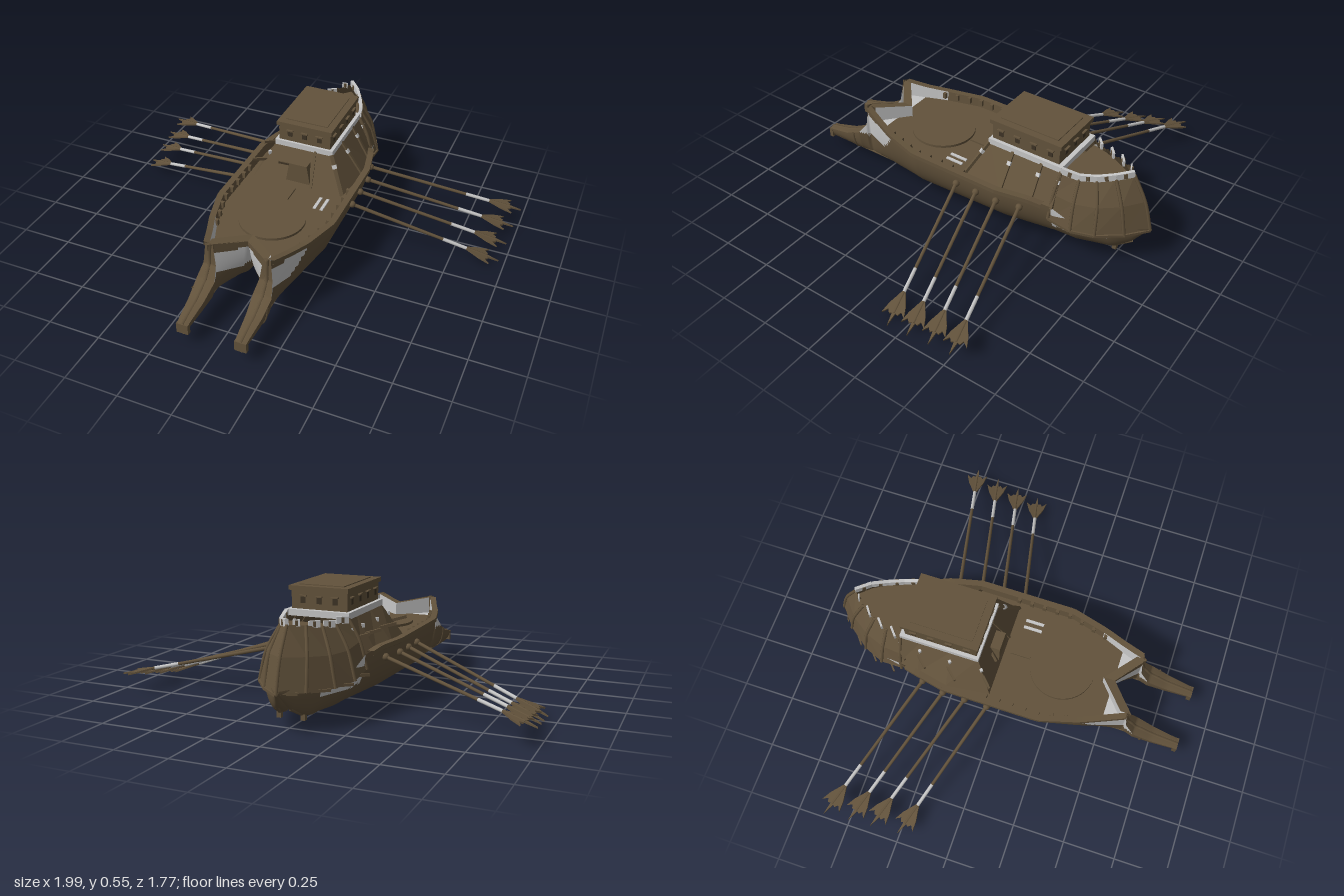
import * as THREE from 'three';

const brown = new THREE.MeshStandardMaterial({ color: 0x62523b, side: THREE.DoubleSide });
brown.name = 'weathered brown';
const pale = new THREE.MeshStandardMaterial({ color: 0xc6c6c6, side: THREE.DoubleSide });
pale.name = 'pale grey';
const dark = new THREE.MeshStandardMaterial({ color: 0x3c3224 });
dark.name = 'dark brown';

const V = (x, y, z) => new THREE.Vector3(x, y, z);

function add(parent, name, geo, mat, x = 0, y = 0, z = 0) {
  const m = new THREE.Mesh(geo, mat);
  m.name = name;
  m.position.set(x, y, z);
  parent.add(m);
  return m;
}

// surface through rows of points; pick(centre) is true where the face is pale
function surf(parent, name, rows, pick = () => false, smooth = false) {
  const n = rows[0].length, lists = [[], []];
  for (let i = 0; i < rows.length - 1; i++) for (let j = 0; j < n - 1; j++) {
    const a = i * n + j, b = a + 1, c = a + n, d = c + 1;
    const mid = rows[i][j].clone().add(rows[i + 1][j + 1]).multiplyScalar(0.5);
    lists[pick(mid) ? 1 : 0].push(a, b, c, b, d, c);
  }
  let g = new THREE.BufferGeometry().setFromPoints(rows.flat());
  g.setIndex([...lists[0], ...lists[1]]);
  if (!smooth) g = g.toNonIndexed();
  g.computeVertexNormals();
  g.addGroup(0, lists[0].length, 0);
  g.addGroup(lists[0].length, lists[1].length, 1);
  return add(parent, name, g, [brown, pale]);
}

// square bar between two points
function bar(parent, name, a, b, w, h, mat = brown) {
  const m = add(parent, name, new THREE.BoxGeometry(w, h, a.distanceTo(b)), mat);
  m.position.copy(a).lerp(b, 0.5);
  m.lookAt(b);
  return m;
}

const tube = (parent, name, pts, r, mat = brown) =>
  add(parent, name, new THREE.TubeGeometry(new THREE.CatmullRomCurve3(pts), 24, r, 6), mat);

// hull stations: z, outer rim x y, keel x y, inner edge x y
const stations = [
  [-0.88, 0.01, 0.195, 0.006, 0.182, 0, 0.19],
  [-0.82, 0.065, 0.2, 0.03, 0.11, 0, 0.17],
  [-0.75, 0.125, 0.21, 0.055, 0.066, 0, 0.17],
  [-0.6, 0.2, 0.22, 0.065, 0.062, 0, 0.17],
  [-0.5, 0.222, 0.28, 0.075, 0.062, 0, 0.17],
  [-0.4, 0.252, 0.305, 0.085, 0.062, 0, 0.17],
  [-0.25, 0.285, 0.31, 0.1, 0.062, 0, 0.17],
  [0.22, 0.285, 0.31, 0.13, 0.062, 0, 0.17],
  [0.4, 0.235, 0.315, 0.136, 0.062, 0, 0.17],
  [0.45, 0.215, 0.32, 0.137, 0.062, 0, 0.18],
  [0.5, 0.195, 0.325, 0.137, 0.062, 0.002, 0.325],
  [0.605, 0.155, 0.345, 0.137, 0.062, 0.12, 0.345],
  [0.615, 0.165, 0.24, 0.137, 0.062, 0.105, 0.24],
  [0.66, 0.18, 0.18, 0.137, 0.062, 0.092, 0.18],
  [0.75, 0.174, 0.138, 0.137, 0.062, 0.1, 0.138],
  [0.88, 0.163, 0.108, 0.137, 0.062, 0.111, 0.108],
];
function at(z) {
  let i = 0;
  while (i < stations.length - 2 && stations[i + 1][0] < z) i++;
  const a = stations[i], b = stations[i + 1], t = (z - a[0]) / (b[0] - a[0]);
  return a.map((v, k) => v + (b[k] - v) * t);
}
function range(a, b, n) {
  return Array.from({ length: n + 1 }, (_, i) => a + (b - a) * i / n);
}

function hullHalf(g) {
  const zs = [...range(-0.88, 0.4, 64), ...range(0.41, 0.6, 19), ...range(0.605, 0.66, 11), ...range(0.67, 0.88, 14)];
  const arc = range(0, Math.PI / 2, 18);
  const side = (ix) => zs.map(z => {
    const s = at(z);
    return arc.map(t => V(s[3] + (s[ix] - s[3]) * Math.cos(t), s[ix + 1] - (s[ix + 1] - s[4]) * Math.sin(t), z));
  });
  const bow = p => p.z > 0.4 + 0.9 * Math.max(0, 0.27 - p.y) && p.z < 0.66 && p.y > 0.18 && p.y < 0.295;
  surf(g, 'hullOuterSide', side(1), p => bow(p) || (p.z < -0.5 && p.z > -0.74 && p.y > 0.155), true);
  surf(g, 'hullInnerSide', side(5), bow, true);
  // ram top, stem rib, tip and hoop
  surf(g, 'ramTop', zs.filter(z => z >= 0.605).map(z => {
    const s = at(z);
    return [V(s[5], s[6], z), V(0.137, s[6] + 0.006, z), V(s[1], s[2], z)];
  }), undefined, true);
  tube(g, 'stemRib', [0.605, 0.615, 0.635, 0.66, 0.7, 0.75, 0.88].map(z => V(0.137, at(z)[2], z)), 0.01);
  add(g, 'ramTip', new THREE.BoxGeometry(0.056, 0.05, 0.02), brown, 0.137, 0.085, 0.873);
  const hoop = at(0.7);
  tube(g, 'ramHoop', arc.map(t => V(0.137 + (hoop[1] - 0.137) * Math.cos(t), hoop[2] - (hoop[2] - 0.062) * Math.sin(t), 0.7)), 0.006);
  tube(g, 'keel', range(-0.82, 0.88, 20).map(z => V(at(z)[3], at(z)[4], z)), 0.008);
  add(g, 'keelEnd', new THREE.BoxGeometry(0.02, 0.03, 0.02), brown, 0.055, 0.062, -0.75);
  // rim lip, bulwark and deck
  const rim = range(-0.46, 0.6, 40).map(z => [z, at(z)]);
  surf(g, 'rimLip', rim.map(([z, s]) => [V(s[1] - 0.004, s[2] - 0.028, z), V(s[1] + 0.01, s[2] - 0.02, z),
    V(s[1] + 0.01, s[2], z), V(s[1] - 0.02, s[2], z)]));
  surf(g, 'bulwark', rim.map(([z, s]) => [V(s[1] - 0.02, s[2], z), V(s[1] - 0.025, 0.262, z)]), p => p.z > 0.4);
  surf(g, 'deck', range(-0.5, 0.58, 54).map(z => [V(Math.max(0, (z - 0.45) * 0.95), 0.265, z), V(at(z)[1] - 0.015, 0.265, z)]),
    p => p.z > 0.5);
  surf(g, 'bowNotchRail', [
    [V(0, 0.295, 0.503), V(0, 0.325, 0.505), V(0, 0.325, 0.45), V(0, 0.262, 0.45)],
    [V(0.14, 0.31, 0.618), V(0.14, 0.345, 0.62), V(0.14, 0.345, 0.57), V(0.14, 0.262, 0.57)],
  ], p => p.y < 0.32 && p.z < 0.54);
  for (const z of range(-0.05, 0.4, 7))
    add(g, 'bulwarkCleat', new THREE.BoxGeometry(0.016, 0.03, 0.016), brown, at(z)[1] - 0.028, 0.295, z);
}

function houseHalf(g) {
  // sloping lower house
  const foot = [[-0.04, 0.23], [-0.25, 0.255], [-0.4, 0.235], [-0.5, 0.218]];
  const top = [-0.12, -0.25, -0.4, -0.5];
  surf(g, 'houseSide', foot.map(([z, x], i) => [V(x, 0.265, z), V(0.14, 0.43, top[i])]));
  surf(g, 'houseFront', [[V(0, 0.265, -0.04), V(0.23, 0.265, -0.04)], [V(0, 0.43, -0.12), V(0.14, 0.43, -0.12)]]);
  foot.forEach(([z, x], i) => {
    const a = V(x, 0.27, z), b = V(0.142, 0.43, top[i]);
    bar(g, 'houseRib', a, b, 0.014, 0.014);
    bar(g, 'ribBand', a.clone().lerp(b, 0.66), a.clone().lerp(b, 0.76), 0.018, 0.018, pale);
  });
  bar(g, 'frontRib', V(0.07, 0.27, -0.04), V(0.06, 0.43, -0.12), 0.012, 0.012);

  // pleated stern shroud
  const upper = [V(0.145, 0.43, -0.5), V(0.125, 0.415, -0.58), V(0.095, 0.42, -0.65), V(0.055, 0.435, -0.72), V(0, 0.445, -0.78)];
  const lower = [V(0.225, 0.215, -0.49), V(0.218, 0.19, -0.6), V(0.175, 0.18, -0.7), V(0.095, 0.18, -0.805), V(0, 0.18, -0.885)];
  const pleat = upper.map((u, i) => [u, u.clone().lerp(lower[i], 0.5).add(V(i < 4 ? 0.01 : 0, 0.012, i > 1 ? -0.012 : 0)), lower[i]]);
  surf(g, 'sternShroud', pleat);
  pleat.forEach(p => tube(g, 'shroudRib', p, 0.008));
  for (let i = 0; i < 4; i++) {
    bar(g, 'shroudHem', lower[i], lower[i + 1], 0.012, 0.012);
    const lift = V(0, 0.008, 0);
    const a = upper[i].clone().add(lift), b = upper[i + 1].clone().add(lift);
    bar(g, 'sternRail', a, b, 0.016, 0.03, pale);
    bar(g, 'railPost', a.clone().lerp(b, 0.4), a.clone().lerp(b, 0.6), 0.022, 0.024);
  }
  surf(g, 'aftDeck', upper.map(u => [V(0, 0.4, u.z), V(u.x, 0.4, u.z)]));
}

function cabin(g) {
  const zc = -0.305;
  add(g, 'cabinBand', new THREE.BoxGeometry(0.296, 0.028, 0.385), pale, 0, 0.438, -0.31);
  add(g, 'cabinWalls', new THREE.BoxGeometry(0.262, 0.1, 0.35), brown, 0, 0.49, zc);
  add(g, 'cabinRoof', new THREE.BoxGeometry(0.28, 0.02, 0.372), brown, 0, 0.543, zc);
  add(g, 'roofPanel', new THREE.BoxGeometry(0.21, 0.006, 0.3), brown, 0, 0.554, zc);
  for (const s of [-1, 1]) {
    for (const t of range(-0.13, 0.13, 3)) {
      add(g, 'sideWindow', new THREE.BoxGeometry(0.006, 0.028, 0.022), dark, s * 0.132, 0.492, zc + t);
      add(g, 'sideWindowHood', new THREE.BoxGeometry(0.016, 0.006, 0.034), brown, s * 0.134, 0.51, zc + t);
    }
    for (const t of range(-0.075, 0.075, 2)) {
      add(g, 'endWindow', new THREE.BoxGeometry(0.022, 0.028, 0.006), dark, t, 0.492, zc + s * 0.176);
      add(g, 'endWindowHood', new THREE.BoxGeometry(0.034, 0.006, 0.016), brown, t, 0.51, zc + s * 0.178);
    }
  }
  // entry porch
  const porch = new THREE.Shape([[-0.065, 0], [0.065, 0], [0.045, 0.115], [-0.045, 0.115]].map(p => new THREE.Vector2(...p)));
  add(g, 'entryPorch', new THREE.ExtrudeGeometry(porch, { depth: 0.05, bevelEnabled: false }), brown, 0, 0.265, -0.098);
}

// oar from the hull to its tip: shaft, pale grip and barbed blade
function oar(g, a, b) {
  const o = new THREE.Group(), len = a.distanceTo(b);
  o.name = 'oar';
  const y = b.clone().sub(a).normalize();
  const x = y.clone().cross(V(0, 1, 0)).normalize();
  o.quaternion.setFromRotationMatrix(new THREE.Matrix4().makeBasis(x, y, x.clone().cross(y)));
  o.position.copy(a);
  const shaft = len - 0.06;
  add(o, 'shaft', new THREE.CylinderGeometry(0.007, 0.009, shaft, 8), brown, 0, shaft / 2, 0);
  add(o, 'sleeve', new THREE.CylinderGeometry(0.0085, 0.0085, 0.12, 8), pale, 0, len - 0.225, 0);
  add(o, 'socket', new THREE.SphereGeometry(0.017, 10, 8), brown, 0, 0.015, 0);
  const half = [[0.008, -0.165], [0.026, -0.125], [0.038, -0.1], [0.052, -0.05], [0.03, -0.072], [0.02, -0.055], [0.008, -0.06]];
  const pts = [...half, [0.004, 0], ...half.map(([px, py]) => [-px, py]).reverse()];
  const blade = new THREE.Shape(pts.map(p => new THREE.Vector2(...p)));
  add(o, 'blade', new THREE.ExtrudeGeometry(blade, { depth: 0.008, bevelEnabled: false }), brown, 0, len, -0.004);
  g.add(o);
}

export function createModel() {
  const root = new THREE.Group();
  root.name = 'oaredBarge';
  const ship = new THREE.Group();
  ship.name = 'ship';
  ship.position.x = -0.011;
  root.add(ship);
  for (const s of [1, -1]) {
    const half = new THREE.Group();
    half.name = s > 0 ? 'leftHalf' : 'rightHalf';
    half.scale.x = s;
    hullHalf(half);
    houseHalf(half);
    ship.add(half);
  }
  cabin(ship);
  // deck fittings
  add(ship, 'deckDisc', new THREE.CylinderGeometry(0.155, 0.155, 0.014, 40), brown, 0, 0.27, 0.25);
  add(ship, 'deckRidge', new THREE.BoxGeometry(0.01, 0.01, 0.1), brown, 0, 0.268, 0.04);
  for (const x of [0.145, 0.18])
    add(ship, 'deckSlot', new THREE.BoxGeometry(0.014, 0.008, 0.09), pale, x, 0.267, 0.055);
  // oars, back to front
  const leftTips = [[0.995, 0.08, -0.53], [0.985, 0.055, -0.415], [0.98, 0.03, -0.3], [0.97, 0.008, -0.185]];
  const rightTips = [[-0.995, 0.09, -0.605], [-0.985, 0.07, -0.49], [-0.975, 0.05, -0.385], [-0.965, 0.03, -0.255]];
  for (let i = 0; i < 4; i++) {
    const z = -0.36 + i * 0.11, x = at(z)[1] - 0.012;
    oar(root, V(x - 0.011, 0.248, z), V(...leftTips[i]));
    oar(root, V(-x - 0.011, 0.248, z), V(...rightTips[i]));
  }
  return root;
}
